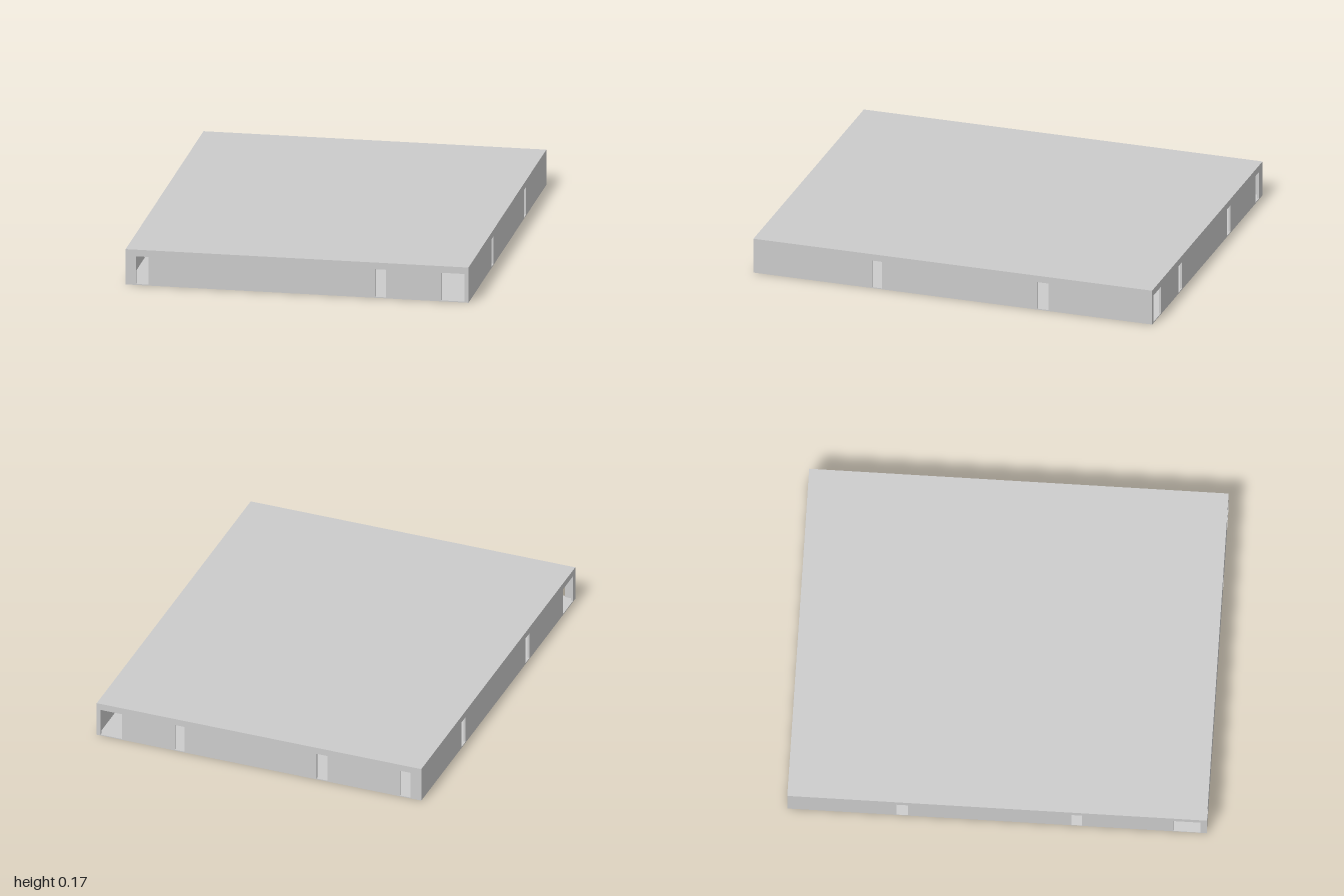
import * as THREE from 'three';

const W = 0.83, D = 1, H = 0.175;     // half width, half depth, height
const WALL = 0.01, FLOOR = 0.005, ROOF = 0.01, DOOR_TOP = 0.142;

const material = new THREE.MeshStandardMaterial({ color: 0xcccccc, flatShading: true });

function add(group, name, geometry) {
  const mesh = new THREE.Mesh(geometry, material);
  mesh.name = name;
  group.add(mesh);
  return mesh;
}

// Thin wall from u0 to u1, notched from its foot by doorways [from, to] in rising order
function wallGeometry(u0, u1, doors) {
  const shape = new THREE.Shape();
  shape.moveTo(u0, FLOOR);
  for (const [a, b] of doors) {
    shape.lineTo(a, FLOOR);
    shape.lineTo(a, DOOR_TOP);
    shape.lineTo(b, DOOR_TOP);
    shape.lineTo(b, FLOOR);
  }
  shape.lineTo(u1, FLOOR);
  shape.lineTo(u1, H - ROOF);
  shape.lineTo(u0, H - ROOF);
  shape.closePath();
  return new THREE.ExtrudeGeometry(shape, { depth: WALL, bevelEnabled: false });
}

export function createModel() {
  const group = new THREE.Group();
  group.name = 'hall';

  // Floor and flat roof
  add(group, 'floor', new THREE.BoxGeometry(2 * W, FLOOR, 2 * D)).position.y = FLOOR / 2;
  add(group, 'roof', new THREE.BoxGeometry(2 * W, ROOF, 2 * D)).position.y = H - ROOF / 2;

  // Front and back walls, running along x
  const front = [[-0.78, -0.72], [0.38, 0.43], [0.70, 0.81]];
  const back = [[-0.775, -0.72], [-0.35, -0.295], [0.38, 0.43], [0.70, 0.81]];
  add(group, 'frontWall', wallGeometry(-W, W, front)).position.z = D - WALL;
  add(group, 'backWall', wallGeometry(-W, W, back)).position.z = -D;

  // Side walls, running along z between the front and back walls
  const sideDoors = [[-0.48, -0.425], [0.355, 0.405]];
  const side = (doors) => wallGeometry(-D + WALL, D - WALL, doors).rotateY(-Math.PI / 2);
  add(group, 'leftWall', side(sideDoors)).position.x = W;
  add(group, 'rightWall', side([...sideDoors, [0.84, 0.97]])).position.x = -W + WALL;

  return group;
}
